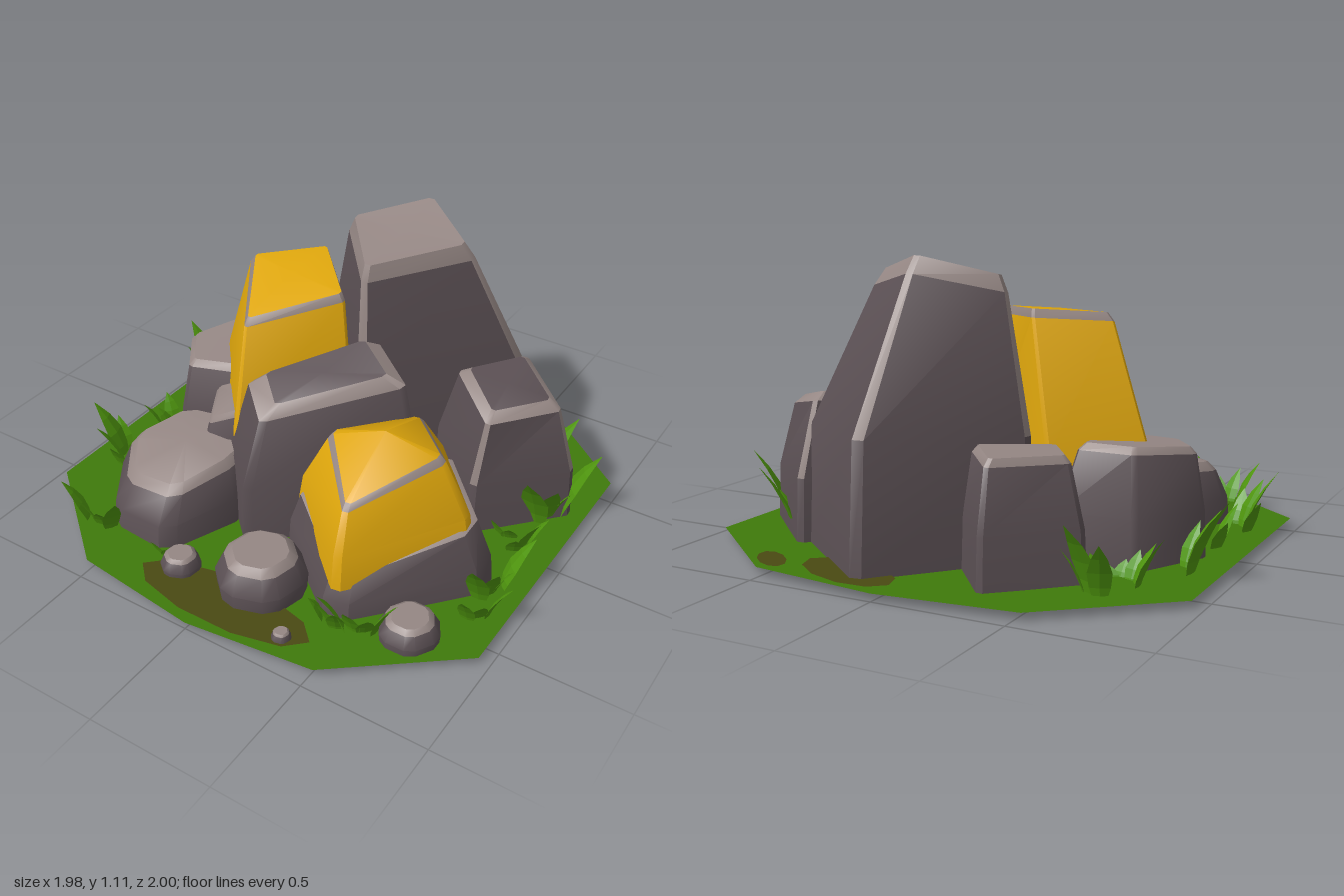
import * as THREE from 'three';
import { toCreasedNormals } from 'three/addons/utils/BufferGeometryUtils.js';

const mat = (name, color, side = THREE.FrontSide) => {
  const m = new THREE.MeshStandardMaterial({ color, side });
  m.name = name;
  return m;
};

const lerp = THREE.MathUtils.lerp;
const BASE = 0.012;

// Cut every corner of a ring of Vector3s into two points
function chamfer(ring, c) {
  const n = ring.length;
  return ring.flatMap((p, i) => [
    p.clone().lerp(ring[(i + n - 1) % n], c),
    p.clone().lerp(ring[(i + 1) % n], c),
  ]);
}

// Tapered boulder. base: [x, z] corners, top: [x, z, y] corners,
// both listed anticlockwise from above (right, back, left, front).
// bulge: inward share at mid height, lip: shoulder height share, rim: cap inset, peak: cap rise
function rock(name, base, top, look, { y0 = BASE, bulge = 0.15, cut = 0.05, lip = 0.94, rim = 0.1, peak = 0 } = {}) {
  const n = base.length;
  const b = base.map(([x, z]) => new THREE.Vector3(x, y0, z));
  const t = top.map(([x, z, y]) => new THREE.Vector3(x, y, z));
  const mix = (fx, fy) => b.map((p, i) => new THREE.Vector3(
    lerp(p.x, t[i].x, fx), lerp(p.y, t[i].y, fy), lerp(p.z, t[i].z, fx)));
  const mean = (ring) => ring.reduce((s, p) => s.add(p), new THREE.Vector3()).divideScalar(n);
  const centre = mean(t);
  const low = mean(b);
  centre.y += peak;
  const cap = t.map((p) => p.clone().lerp(centre, rim));
  const rings = [b, mix(bulge, 0.45), mix(lip - 0.03, lip), cap].map((r) => chamfer(r, cut));

  const mats = [...new Set([look.side, look.stripe, look.rim, look.cap, look.under])];
  const faces = mats.map(() => []);
  const tri = (m, ...pts) => pts.forEach((p) => faces[mats.indexOf(m)].push(p.x, p.y, p.z));
  for (let i = 0; i < n * 2; i++) {
    const j = (i + 1) % (n * 2);
    for (let k = 0; k < 3; k++) {
      const m = k === 2 ? look.rim : k === 1 && i % 2 === 0 ? look.stripe : look.side;
      const [a, c] = [rings[k], rings[k + 1]];
      tri(m, a[i], a[j], c[j]);
      tri(m, a[i], c[j], c[i]);
    }
    tri(look.cap, rings[3][i], rings[3][j], centre);
    tri(look.under, rings[0][j], rings[0][i], low);
  }
  const geo = new THREE.BufferGeometry();
  geo.setAttribute('position', new THREE.Float32BufferAttribute(faces.flat(), 3));
  let start = 0;
  faces.forEach((f, i) => {
    geo.addGroup(start, f.length / 3, i);
    start += f.length / 3;
  });
  const mesh = new THREE.Mesh(toCreasedNormals(geo, 0.6), mats);
  mesh.name = name;
  return mesh;
}

// Rounded pebble made from a six-cornered boulder
function pebble(name, x, z, r, h, look, turn) {
  const ring = (s, y) => Array.from({ length: 6 }, (_, i) => {
    const a = turn + i * Math.PI / 3;
    return [x + Math.cos(a) * r * s, z - Math.sin(a) * r * s, y];
  });
  return rock(name, ring(1.04), ring(0.82, h), look, { bulge: -0.2, cut: 0.2, lip: 0.86, rim: 0.2 });
}

// Leaf blade: thin diamond cross-section that widens, bends outward and ends in a point
function bladeGeometry() {
  const geo = new THREE.CylinderGeometry(1, 1, 1, 4, 4).toNonIndexed();
  const p = geo.attributes.position;
  const width = [0.45, 0.85, 1, 0.65, 0.02];
  for (let i = 0; i < p.count; i++) {
    const h = p.getY(i) + 0.5;
    const w = width[Math.round(h * 4)];
    p.setXYZ(i, p.getX(i) * w * 0.19, h, p.getZ(i) * w * 0.04 + 0.2 * h + 0.45 * h * h);
  }
  geo.computeVertexNormals();
  return geo;
}

export function createModel() {
  const model = new THREE.Group();
  model.name = 'goldOreRocks';
  const stone = mat('darkStone', 0x5b5054);
  const edge = mat('paleStone', 0x958784);
  const gold = mat('gold', 0xdea60c);
  const turf = mat('turf', 0x3f7a0b, THREE.DoubleSide);
  const leaf = mat('leaf', 0x4f960e);
  const dirt = mat('dirt', 0x4a4a12, THREE.DoubleSide);
  const olive = mat('oliveUnderside', 0x66641a);

  const striped = { side: stone, stripe: edge, rim: edge, cap: edge, under: stone };
  const plain = { ...striped, stripe: stone };
  const darkTop = { ...plain, cap: stone };
  const low = { ...plain, under: olive };
  const ore = { side: gold, stripe: gold, rim: edge, cap: gold, under: stone };

  // Ground: slightly dished ten-sided plate
  const rim = [[0, -1], [-0.525, -0.94], [-0.96, -0.58], [-0.96, 0.58], [-0.52, 0.94],
    [0, 1], [0.51, 0.94], [0.96, 0.58], [0.96, -0.58], [0.52, -0.94]];
  const g = [];
  rim.forEach(([x, z], i) => {
    const [u, w] = rim[(i + 1) % rim.length];
    g.push(x, 0.033, z, u, 0.033, w, 0, 0.016, 0);
  });
  const groundGeo = new THREE.BufferGeometry();
  groundGeo.setAttribute('position', new THREE.Float32BufferAttribute(g, 3));
  const ground = new THREE.Mesh(toCreasedNormals(groundGeo, 0.5), turf);
  ground.name = 'ground';
  model.add(ground);

  // Bare earth patches
  [[0.05, 0.84, 0.38, 0.12, 0], [0.2, -0.84, 0.22, 0.11, -0.3], [0.53, -0.84, 0.1, 0.05, -0.7]].forEach(([x, z, rx, rz, a]) => {
    const patch = new THREE.Mesh(new THREE.CircleGeometry(1, 10).rotateX(-Math.PI / 2), dirt);
    patch.name = 'earthPatch';
    patch.scale.set(rx, 1, rz);
    patch.rotation.y = a;
    patch.position.set(x, 0.036, z);
    model.add(patch);
  });

  // Large rocks
  model.add(
    rock('tallRock',
      [[0.6, -0.54], [0.13, -0.92], [-0.3, -0.39], [0.1, 0.01]],
      [[0.36, -0.37, 1.05], [0.1, -0.55, 1.12], [-0.17, -0.36, 1.04], [0.09, -0.03, 1.02]],
      striped, { cut: 0.05, lip: 0.94, rim: 0.07, bulge: 0.08 }),
    rock('backLeftRock',
      [[-0.08, -0.56], [-0.31, -0.84], [-0.59, -0.57], [-0.39, -0.3]],
      [[-0.14, -0.56, 0.47], [-0.31, -0.78, 0.47], [-0.51, -0.55, 0.46], [-0.37, -0.34, 0.45]], plain),
    rock('leftRock',
      [[-0.36, 0.08], [-0.36, -0.39], [-0.68, -0.38], [-0.84, -0.09], [-0.69, 0.15]],
      [[-0.42, 0.03, 0.44], [-0.44, -0.33, 0.46], [-0.65, -0.33, 0.46], [-0.79, -0.08, 0.43], [-0.67, 0.09, 0.42]], plain),
    rock('rightRock',
      [[0.91, -0.31], [0.58, -0.62], [0.3, -0.26], [0.61, 0.01]],
      [[0.81, -0.31, 0.53], [0.57, -0.5, 0.59], [0.4, -0.26, 0.59], [0.63, -0.06, 0.54]],
      { ...darkTop, stripe: edge }, { bulge: 0.1, rim: 0.2 }),
    rock('middleRock',
      [[0.42, 0.06], [0.23, -0.12], [-0.31, 0.31], [-0.09, 0.52]],
      [[0.34, 0.06, 0.69], [0.13, -0.07, 0.75], [-0.22, 0.27, 0.62], [-0.06, 0.42, 0.58]],
      darkTop, { rim: 0.22, lip: 0.93, bulge: 0.05 }),
    rock('oreFoot',
      [[-0.16, 0.28], [-0.3, -0.02], [-0.58, 0.08], [-0.42, 0.38]],
      [[-0.22, 0.27, 0.46], [-0.3, 0.02, 0.46], [-0.52, 0.1, 0.36], [-0.4, 0.31, 0.36]], plain),
    rock('frontLeftRock',
      [[-0.17, 0.4], [-0.27, 0.12], [-0.63, 0.14], [-0.76, 0.45], [-0.58, 0.72], [-0.3, 0.74]],
      [[-0.22, 0.38, 0.29], [-0.28, 0.16, 0.31], [-0.6, 0.2, 0.29], [-0.69, 0.44, 0.26], [-0.55, 0.64, 0.23], [-0.31, 0.65, 0.26]],
      low, { cut: 0.14, lip: 0.88, peak: 0.03 }),
    rock('oreCollar',
      [[0.86, 0.24], [0.48, -0.14], [0, 0.38], [0.43, 0.73]],
      [[0.77, 0.24, 0.3], [0.47, -0.06, 0.34], [0.06, 0.37, 0.29], [0.43, 0.66, 0.19]],
      low, { cut: 0.12, lip: 0.94 }),
  );

  // Gold ore
  model.add(
    rock('tallOre',
      [[0.1, 0], [-0.38, -0.4], [-0.71, -0.13], [-0.26, 0.38]],
      [[0.02, -0.02, 0.9], [-0.23, -0.29, 0.92], [-0.46, -0.1, 0.9], [-0.27, 0.22, 0.81]],
      ore, { cut: 0.03, lip: 0.965, rim: 0.05, bulge: 0.32, peak: 0.02 }),
    rock('wideOre',
      [[0.77, 0.25], [0.42, -0.15], [0.04, 0.36], [0.43, 0.69]],
      [[0.61, 0.24, 0.54], [0.38, 0.01, 0.5], [0.17, 0.31, 0.53], [0.41, 0.59, 0.45]],
      ore, { y0: 0.15, cut: 0.05, lip: 0.945, rim: 0.05, bulge: 0.2, peak: 0.095 }),
  );

  // Loose stones
  [['frontBoulder', 0.11, 0.68, 0.175, 0.195, 0.3], ['rightStone', 0.7, 0.61, 0.115, 0.12, 0],
    ['leftStone', -0.2, 0.77, 0.078, 0.1, 0.4], ['tinyStone', 0.33, 0.87, 0.038, 0.065, 0.2]]
    .forEach(([name, x, z, r, h, turn]) => model.add(pebble(name, x, z, r, h, plain, turn)));

  // Grass tufts: x, z, blade height, heading (0 faces front), blade count
  const blade = bladeGeometry();
  [[-0.83, -0.27, 0.3, -1, 3], [-0.82, 0.08, 0.17, -1.4, 3], [-0.83, 0.36, 0.26, -1, 4],
    [-0.63, 0.74, 0.2, 0, 4], [-0.3, 0.74, 0.13, 0.2, 2], [-0.64, -0.65, 0.28, 2.8, 3],
    [-0.72, -0.49, 0.2, -0.9, 3], [-0.62, -0.46, 0.1, 0.5, 3], [0.7, -0.46, 0.29, 2, 2],
    [0.83, -0.25, 0.3, 1.1, 4], [0.74, -0.06, 0.15, 0, 2], [0.82, -0.03, 0.19, 1.2, 3],
    [0.84, 0.26, 0.24, 1.2, 4], [0.86, 0.4, 0.2, 0.8, 3], [0.43, 0.71, 0.19, -0.3, 3],
    [0.54, 0.69, 0.21, 0.4, 4]].forEach(([x, z, h, heading, count], k) => {
    const tuft = new THREE.Group();
    tuft.name = 'grassTuft';
    tuft.position.set(x, 0.004, z);
    tuft.rotation.y = heading;
    for (let i = 0; i < count; i++) {
      const s = i - (count - 1) / 2;
      const size = h * (1 - 0.2 * ((i + k) % 3));
      const m = new THREE.Mesh(blade, leaf);
      m.name = 'grassBlade';
      m.position.x = s * 0.035;
      m.rotation.y = s * 0.7;
      m.scale.set(Math.max(size, 0.18), size, size * 0.75);
      tuft.add(m);
    }
    model.add(tuft);
  });
  return model;
}
